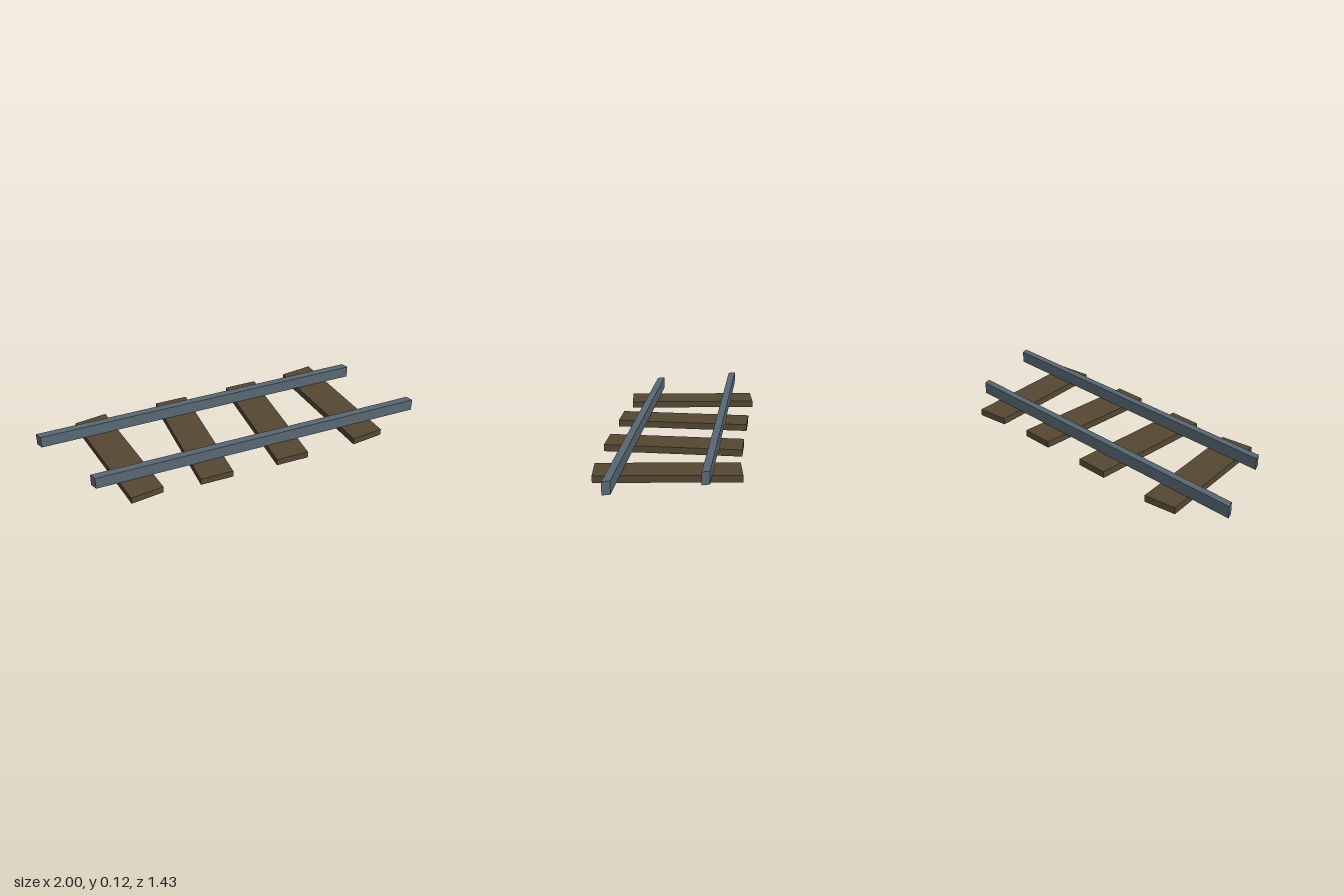
import * as THREE from 'three';

export function createModel() {
  const group = new THREE.Group();
  group.name = 'railTrack';

  const steel = new THREE.MeshStandardMaterial({ color: 0x596874 });
  steel.name = 'steel';
  const wood = new THREE.MeshStandardMaterial({ color: 0x564934 });
  wood.name = 'wood';

  // Rails: boxes sheared in plan, so their ends stay square to x
  const slope = 0.408;
  [['backRail', -0.273], ['frontRail', 0.283]].forEach(([name, z]) => {
    const geometry = new THREE.BoxGeometry(2, 0.078, 0.049);
    const p = geometry.attributes.position;
    for (let i = 0; i < p.count; i++) p.setZ(i, p.getZ(i) + slope * p.getX(i));
    geometry.computeVertexNormals();
    const rail = new THREE.Mesh(geometry, steel);
    rail.name = name;
    rail.position.set(0, 0.085, z);
    group.add(rail);
  });

  // Sleepers: x, z and turn in degrees
  const sleeperGeometry = new THREE.BoxGeometry(0.212, 0.043, 0.855);
  [
    [-0.695, -0.278, 14.3],
    [-0.232, -0.087, 22.2],
    [0.236, 0.105, 22.2],
    [0.695, 0.271, 15],
  ].forEach(([x, z, turn], i) => {
    const sleeper = new THREE.Mesh(sleeperGeometry, wood);
    sleeper.name = `sleeper${i + 1}`;
    sleeper.position.set(x, 0.0215, z);
    sleeper.rotation.y = -THREE.MathUtils.degToRad(turn);
    group.add(sleeper);
  });

  return group;
}
